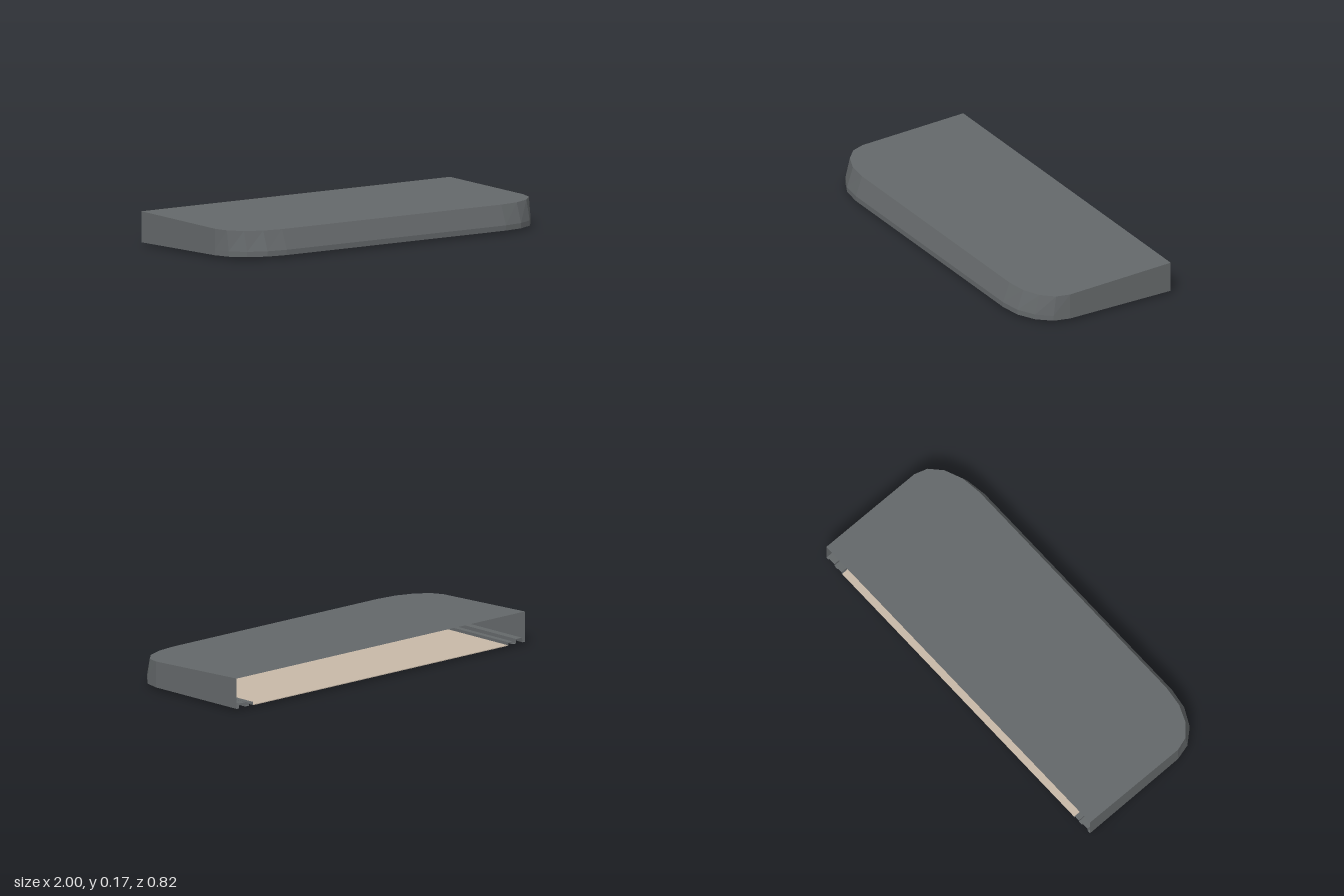
import * as THREE from 'three';

const BACK = -0.41, CX = 0.71, CZ = 0.19, RX = 0.29, RZ = 0.22, STEPS = 4;

// Height of the sloping roof at depth z
const roofY = z => 0.142 + (0.37 - z) * (0.03 / 0.78);

// U-shaped outline, open at the back, with rounded front corners
function outline(insetX, insetZ) {
  const half = [[CX + RX - insetX, BACK]];
  for (let i = 0; i <= STEPS; i++) {
    const a = (i / STEPS) * Math.PI / 2;
    half.push([CX + (RX - insetX) * Math.cos(a), CZ + (RZ - insetZ) * Math.sin(a)]);
  }
  return [...half, ...half.map(([x, z]) => [-x, z]).reverse()];
}

// Sweep a profile of [insetX, insetZ, y] steps around the outline
function sweep(profile) {
  const rows = profile.map(([ix, iz, y]) =>
    outline(ix, iz).map(([x, z]) => [x, y === 'roof' ? roofY(z) : y, z]));
  const pos = [];
  for (let r = 0; r < rows.length - 1; r++) {
    for (let i = 0; i < rows[r].length - 1; i++) {
      const a = rows[r][i], b = rows[r][i + 1], c = rows[r + 1][i + 1], d = rows[r + 1][i];
      pos.push(...a, ...b, ...c, ...a, ...c, ...d);
    }
  }
  const geo = new THREE.BufferGeometry();
  geo.setAttribute('position', new THREE.Float32BufferAttribute(pos, 3));
  geo.computeVertexNormals();
  return geo;
}

const outlineShape = (ix, iz) =>
  new THREE.Shape(outline(ix, iz).map(([x, z]) => new THREE.Vector2(x, -z)));

export function createModel() {
  const model = new THREE.Group();
  model.name = 'shellWithFeet';

  const material = (name, color, extra = {}) => {
    const m = new THREE.MeshStandardMaterial({ color, ...extra });
    m.name = name;
    return m;
  };
  const grey = material('shellGrey', 0x64686a, { side: THREE.DoubleSide, flatShading: true });
  const beige = material('plateBeige', 0xc8b9a8);
  const dark = material('footDark', 0x2c2222);
  const gold = material('padGold', 0xd8b83e);

  const add = (name, geo, mat, parent = model) => {
    const mesh = new THREE.Mesh(geo, mat);
    mesh.name = name;
    parent.add(mesh);
    return mesh;
  };

  // Sloping roof, closed by the wall below it
  const roof = new THREE.ShapeGeometry(outlineShape(0, 0.038));
  roof.rotateX(-Math.PI / 2);
  const p = roof.attributes.position;
  for (let i = 0; i < p.count; i++) p.setY(i, roofY(p.getZ(i)));
  roof.computeVertexNormals();
  add('roof', roof, grey);

  // Outer wall, leaning back at the front above a short upright foot
  add('wall', sweep([[0, 0.038, 'roof'], [0, 0, 0.04], [0, 0, 0.013]]), grey);

  // Stepped and grooved rim between the wall and the bottom plate
  const rim = [[0, 0.013], [0.015, 0.013], [0.02, 0.038], [0.06, 0.038], [0.06, 0.015],
    [0.085, 0.015], [0.085, 0.03], [0.115, 0.03], [0.115, 0.013], [0.125, 0.013]];
  add('rim', sweep(rim.map(([d, y]) => [d, d, y])), grey);

  // Bottom plate
  const plate = new THREE.ExtrudeGeometry(outlineShape(0.12, 0.12), { depth: 0.004, bevelEnabled: false });
  plate.rotateX(-Math.PI / 2);
  add('bottomPlate', plate, beige).position.y = 0.0125;

  // Six ring feet with recessed pads
  const ring = new THREE.LatheGeometry([[0.051, 0.013], [0.051, 0], [0.068, 0], [0.068, 0.013]]
    .map(([x, y]) => new THREE.Vector2(x, y)).flatMap((v, i) => (i === 1 || i === 2 ? [v, v.clone()] : [v])), 24);
  const ringMat = dark;
  ringMat.side = THREE.DoubleSide;
  ringMat.flatShading = true;
  const pad = new THREE.CylinderGeometry(0.052, 0.052, 0.005, 24);
  for (const x of [-0.587, -0.004, 0.58]) {
    for (const z of [0.159, -0.257]) {
      const foot = new THREE.Group();
      foot.name = 'foot';
      foot.position.set(x, 0, z);
      add('footRing', ring, ringMat, foot);
      add('footPad', pad, gold, foot).position.y = 0.0105;
      model.add(foot);
    }
  }
  return model;
}
